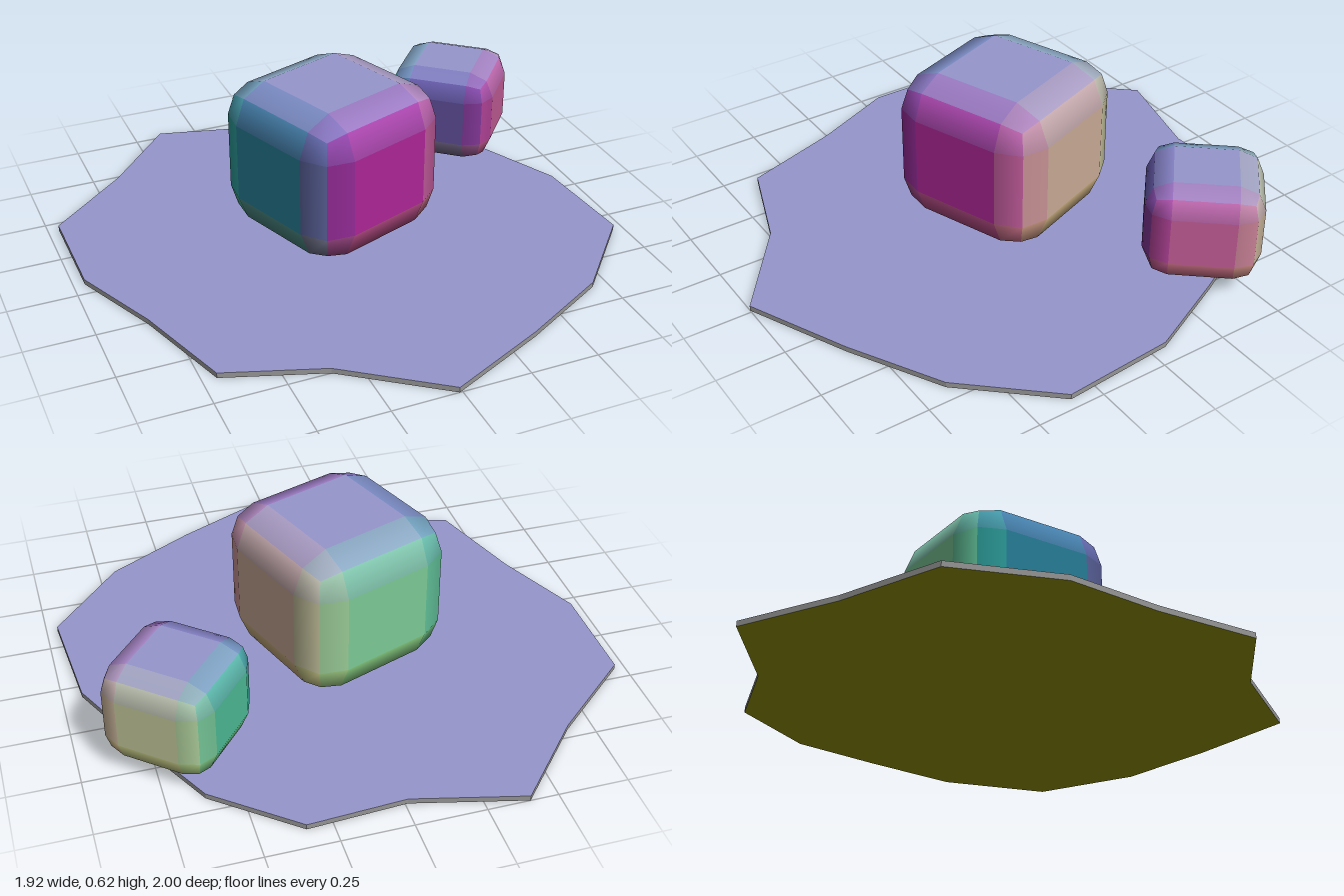
import * as THREE from 'three';
import { RoundedBoxGeometry } from 'three/addons/geometries/RoundedBoxGeometry.js';

// Mesh whose facets are coloured by the direction they face:
// red grows to the left (+x), green to the back (-z), blue upwards.
// sideTint scales how strongly sideways directions count.
function tintedMesh(name, geometry, sideTint = 1) {
  const normals = geometry.attributes.normal;
  const base = new THREE.Color(0xcccccc);
  const indexByColor = new Map();
  const materials = [];
  geometry.clearGroups();
  // Six vertices at a time: two triangles, one facet
  for (let start = 0; start < normals.count; start += 6) {
    const n = new THREE.Vector3();
    for (let i = 0; i < 6; i++) {
      n.add(new THREE.Vector3().fromBufferAttribute(normals, start + i));
    }
    n.divideScalar(6);
    const color = new THREE.Color(
      0.5 + 0.5 * n.x * sideTint,
      0.5 - 0.5 * n.z * sideTint,
      0.5 + 0.5 * n.y,
    ).multiply(base);
    const key = color.getHex();
    if (!indexByColor.has(key)) {
      indexByColor.set(key, materials.length);
      materials.push(new THREE.MeshStandardMaterial({ color }));
    }
    geometry.addGroup(start, 6, indexByColor.get(key));
  }
  const mesh = new THREE.Mesh(geometry, materials);
  mesh.name = name;
  return mesh;
}

// Block with bevelled edges, turned about the vertical axis
function block(name, width, height, bevel, position, degrees) {
  const geometry = new RoundedBoxGeometry(width, height, width, 1, bevel);
  geometry.rotateY(THREE.MathUtils.degToRad(degrees));
  const mesh = tintedMesh(name, geometry);
  mesh.position.set(...position);
  return mesh;
}

export function createModel() {
  const group = new THREE.Group();
  group.name = 'rocksOnGround';

  // Irregular sixteen-sided ground patch, outline as [x, z]
  const outline = [
    [-0.01, 1], [0.36, 0.83], [0.69, 0.65], [0.96, 0.35],
    [0.93, -0.06], [0.78, -0.38], [0.62, -0.69], [0.34, -0.92],
    [-0.01, -0.9], [-0.4, -1], [-0.66, -0.71], [-0.96, -0.45],
    [-0.96, -0.06], [-0.82, 0.26], [-0.7, 0.63], [-0.35, 0.75],
  ];
  const shape = new THREE.Shape(outline.map(([x, z]) => new THREE.Vector2(x, -z)));
  const slab = new THREE.ExtrudeGeometry(shape, { depth: 0.02, bevelEnabled: false });
  slab.rotateX(-Math.PI / 2);
  group.add(tintedMesh('groundPatch', slab, 0)); // rim stays neutral

  // Two rocks hovering just above the ground
  group.add(block('largeRock', 0.608, 0.565, 0.134, [-0.013, 0.335, -0.058], 20));
  group.add(block('smallRock', 0.41, 0.367, 0.093, [0.65, 0.242, -0.44], -40.5));
  return group;
}
